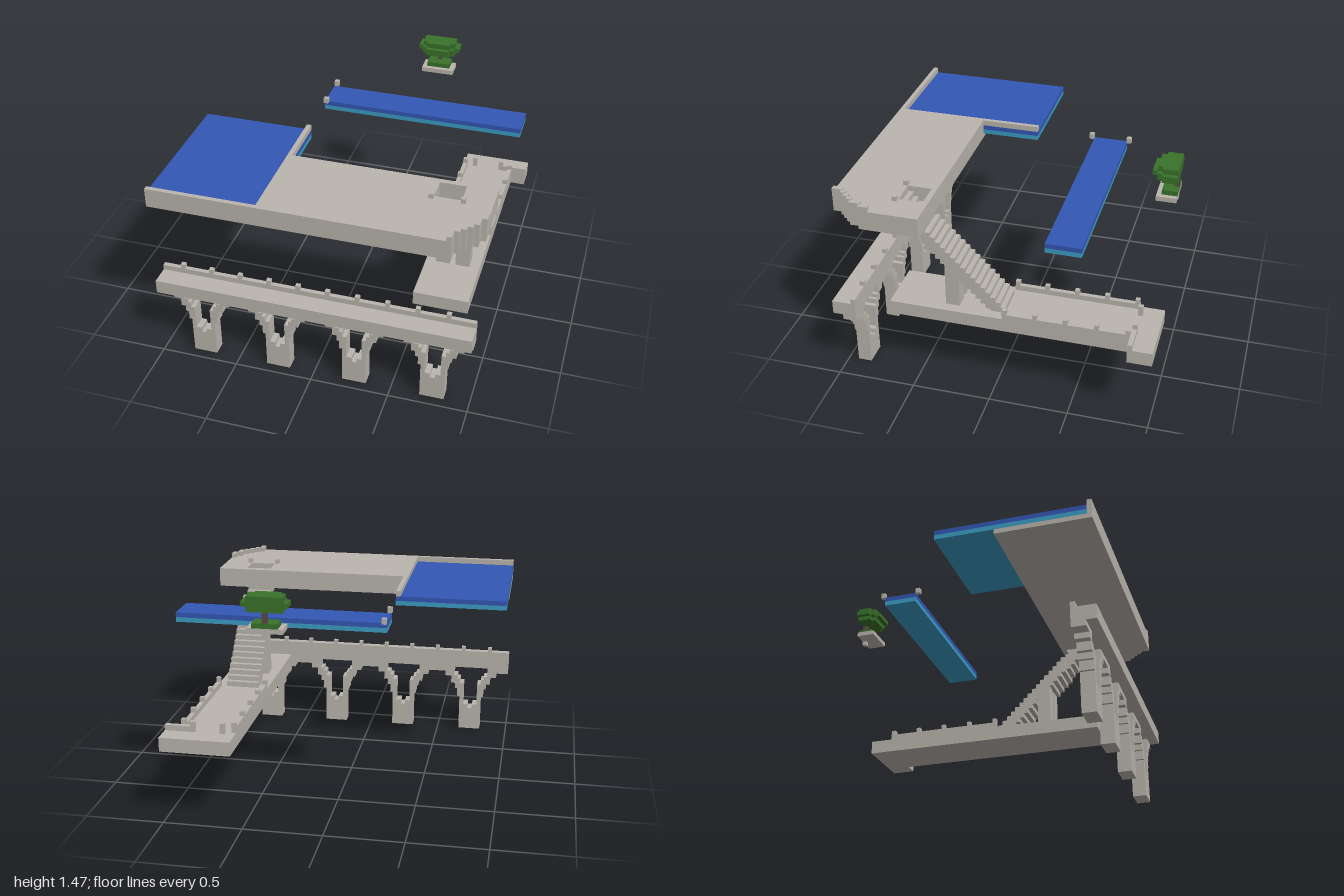
import * as THREE from 'three';

const mat = (name, color) => {
  const m = new THREE.MeshStandardMaterial({ color });
  m.name = name;
  return m;
};

export function createModel() {
  const stone = mat('stone', 0xbab5ad);
  const water = mat('deep water', 0x3457b5);
  const shallow = mat('light water', 0x3a9cc4);
  const leaf = mat('leaf green', 0x3a722a);
  const bark = mat('bark', 0x5a4a46);
  const U = 0.031; // block size

  const model = new THREE.Group();
  model.name = 'terraceWithViaduct';
  const group = (name) => {
    const g = new THREE.Group();
    g.name = name;
    model.add(g);
    return g;
  };
  // Box given by its limits on each axis
  const box = (parent, name, m, x0, x1, y0, y1, z0, z1) => {
    const mesh = new THREE.Mesh(new THREE.BoxGeometry(x1 - x0, y1 - y0, z1 - z0), m);
    mesh.position.set((x0 + x1) / 2, (y0 + y1) / 2, (z0 + z1) / 2);
    mesh.name = name;
    parent.add(mesh);
  };
  const shapeOf = (pts) => new THREE.Shape(pts.map(([x, y]) => new THREE.Vector2(x, y)));

  // Viaduct: walkway, parapet and merlons
  const viaduct = group('viaduct');
  box(viaduct, 'viaductDeck', stone, -1, 1, 0.475, 0.565, 0.848, 1);
  box(viaduct, 'viaductParapet', stone, -1, 1, 0.565, 0.6, 0.848, 0.877);
  for (let i = 0; i < 10; i++) {
    const x = -0.865 + i * 0.1885;
    box(viaduct, 'viaductMerlon', stone, x - 0.014, x + 0.014, 0.6, 0.63, 0.848, 0.877);
  }

  // Stepped piers: half profiles as [distance from centre, height at which it begins]
  const outer = [[0.0765, 0], [0.094, 0.25], [0.112, 0.31], [0.14, 0.35], [0.185, 0.405], [0.249, 0.44]];
  const inner = [[0.016, 0.16], [0.05, 0.19], [0.076, 0.35], [0.096, 0.385], [0.12, 0.41]];
  const stair = (prof, end) => {
    const pts = [];
    prof.forEach(([d, y], i) => {
      pts.push([d, y], [d, i + 1 < prof.length ? prof[i + 1][1] : end]);
    });
    return pts;
  };
  const right = stair(outer, 0.475);
  const notch = stair(inner, 0.475);
  const flip = (pts) => pts.map(([d, y]) => [-d, y]);
  [-0.7325, -0.2365, 0.2645, 0.7625].forEach((c, i) => {
    const outline = [...right, ...notch.slice().reverse(), ...flip(notch), ...flip(right).reverse()]
      .map(([d, y]) => {
        const atLeftEnd = i === 0 && d < -0.24;
        return [atLeftEnd ? -1 : Math.min(1, c + d), y];
      });
    const pier = new THREE.Mesh(
      new THREE.ExtrudeGeometry(shapeOf(outline), { depth: 0.088, bevelEnabled: false }), stone);
    pier.position.z = 0.848;
    pier.name = 'pier';
    viaduct.add(pier);
  });

  // Lower walkway with parapets on both sides
  const walkway = group('lowerWalkway');
  box(walkway, 'walkwayDeck', stone, 0.56, 0.905, 0.475, 0.565, -0.848, 0.655);
  box(walkway, 'walkwayEnd', stone, 0.56, 1, 0.475, 0.565, -1, -0.848);
  for (const x of [0.56, 0.876]) {
    box(walkway, 'walkwayParapet', stone, x, x + 0.029, 0.565, 0.6, -0.848, -0.06);
    for (let i = 0; i < 5; i++) {
      const z = -0.076 - i * 0.189;
      box(walkway, 'walkwayMerlon', stone, x, x + 0.029, 0.6, 0.63, z - 0.014, z + 0.014);
    }
  }
  box(walkway, 'endParapet', stone, 0.84, 1, 0.565, 0.6, -0.877, -0.848);
  for (const x of [0.625, 0.811]) {
    box(walkway, 'endPost', stone, x, x + 0.029, 0.565, 0.63, -0.877, -0.848);
  }

  // Staircase, narrower where it passes through the terrace
  const stairs = group('staircase');
  for (let i = 0; i < 21; i++) {
    const z = -0.065 + i * U;
    const top = 0.6 + i * U;
    const inset = z > 0.43 ? 0.026 : 0;
    box(stairs, 'step', stone, 0.625 + inset, 0.84 - inset,
      Math.max(0.565, top - 0.115), top, z, z + U);
  }
  for (const x of [0.625, 0.75]) {
    box(stairs, 'stairPillar', stone, x, x + 0.09, 0.565, 0.88, 0.225, 0.313);
  }

  // Upper terrace with a stepped corner and a stairwell
  const terrace = group('upperTerrace');
  const corner = [[0.935, 1], [0.905, 0.935], [0.873, 0.905], [0.842, 0.873], [0.775, 0.842], [0.715, 0.775]];
  const edge = [[-0.315, 0.405], [1, 0.405]];
  for (let i = 5; i >= 0; i--) {
    const x = 0.814 + i * U;
    edge.push([x + U, corner[i][1]], [x, corner[i][1]]);
    box(terrace, 'cornerMerlon', stone, x, x + U, 1.255, 1.285, corner[i][0], corner[i][1]);
  }
  edge.push([-0.315, 1]);
  const deckShape = shapeOf(edge);
  deckShape.holes.push(shapeOf([[0.651, 0.44], [0.651, 0.59], [0.814, 0.59], [0.814, 0.44]]));
  const deckGeo = new THREE.ExtrudeGeometry(deckShape, { depth: 0.125, bevelEnabled: false });
  deckGeo.rotateX(Math.PI / 2);
  const deck = new THREE.Mesh(deckGeo, stone);
  deck.position.y = 1.255;
  deck.name = 'terraceDeck';
  terrace.add(deck);
  box(terrace, 'poolFloor', stone, -1, -0.315, 1.13, 1.16, 0.405, 1);
  box(terrace, 'poolFrontWall', stone, -1, -0.315, 1.16, 1.255, 0.97, 1);
  box(terrace, 'poolKerb', stone, -0.315, -0.285, 1.22, 1.255, 0.03, 0.405);
  for (const x of [0.622, 0.814]) {
    box(terrace, 'stairPost', stone, x, x + 0.029, 1.255, 1.285, 0.592, 0.621);
  }

  // Two layered bodies of water
  const pool = group('pool');
  const canal = group('canal');
  [[shallow, 1.16, 1.19], [water, 1.19, 1.22]].forEach(([m, y0, y1]) => {
    box(pool, 'poolLayer', m, -1, -0.315, y0, y1, 0.03, 0.97);
    box(pool, 'poolEdge', m, -0.315, -0.285, y0, y1, 0.03, 0.405);
    box(canal, 'canalLayer', m, -0.315, 1, y0, y1, -0.565, -0.35);
  });
  for (const z of [-0.595, -0.35]) {
    box(canal, 'canalPost', stone, -0.315, -0.285, 1.22, 1.255, z, z + 0.03);
  }

  // Planted tree
  const tree = group('tree');
  box(tree, 'planter', stone, 0.22, 0.435, 1.255, 1.285, -1, -0.877);
  box(tree, 'planterFoot', stone, 0.31, 0.342, 1.225, 1.255, -1, -0.97);
  box(tree, 'shrub', leaf, 0.25, 0.405, 1.285, 1.315, -1, -0.907);
  box(tree, 'trunk', bark, 0.311, 0.342, 1.315, 1.38, -1, -0.97);
  const crown = (y0, y1, rows) => rows.forEach(([x0, x1, z0, z1]) =>
    box(tree, 'crown', leaf, x0, x1, y0, y1, z0, z1));
  const small = [[0.22, 0.435, -1, -0.907], [0.25, 0.405, -0.907, -0.877]];
  crown(1.38, 1.41, small);
  crown(1.41, 1.44, [[0.19, 0.465, -1, -0.907], [0.22, 0.435, -0.907, -0.877], [0.25, 0.405, -0.877, -0.846]]);
  crown(1.44, 1.473, small);

  return model;
}
